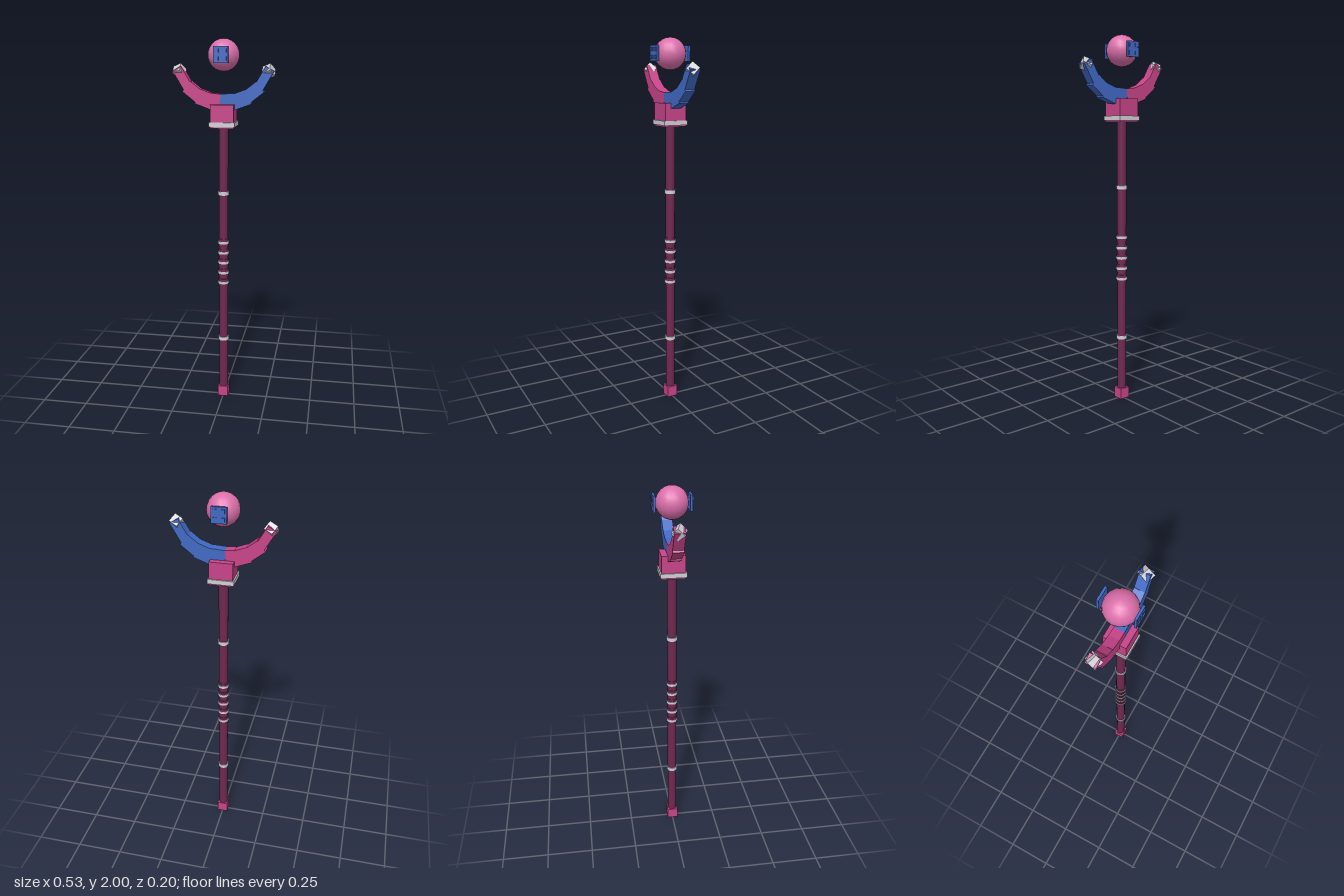
import * as THREE from 'three';

const mat = (name, color) => {
  const m = new THREE.MeshStandardMaterial({ color });
  m.name = name;
  return m;
};

export function createModel() {
  const pink = mat('pink', 0xc74489);
  const orbPink = mat('orb pink', 0xdb6fab);
  const blue = mat('blue', 0x4169c4);
  const silver = mat('silver', 0xd2d0d8);
  const maroon = mat('maroon', 0x6e2850);

  const model = new THREE.Group();
  model.name = 'staff';

  const add = (name, geometry, material, x, y, z, parent = model) => {
    const mesh = new THREE.Mesh(geometry, material);
    mesh.name = name;
    mesh.position.set(x, y, z);
    parent.add(mesh);
    return mesh;
  };
  const box = (name, w, h, d, material, x, y, z, parent) =>
    add(name, new THREE.BoxGeometry(w, h, d), material, x, y, z, parent);
  const rod = (name, r, h, material, y) =>
    add(name, new THREE.CylinderGeometry(r, r, h, 16), material, 0, y, 0);

  // Shaft and pommel
  rod('shaft', 0.025, 1.52, maroon, 0.8);
  box('pommel', 0.058, 0.06, 0.058, pink, 0, 0.03, 0);

  // Single bands and the ribbed grip
  for (const y of [0.355, 1.195]) rod('band', 0.03, 0.02, silver, y);
  const gripY = [0.69, 0.748, 0.806, 0.862, 0.92];
  for (const y of gripY) {
    rod('gripRing', 0.031, 0.014, silver, y);
    rod('gripRib', 0.028, 0.042, maroon, y);
  }

  // Head block and its collar
  box('headBlock', 0.122, 0.122, 0.122, pink, 0, 1.607, 0);
  box('collar', 0.136, 0.024, 0.136, silver, 0, 1.566, 0);

  // Curved arms: overlapping boxes that thin towards the tip
  const buildArm = (name, side, material, startX) => {
    const arm = new THREE.Group();
    arm.name = name;
    model.add(arm);
    const path = [[startX, 1.678], [0.065, 1.683], [0.125, 1.705], [0.185, 1.752], [0.237, 1.84]];
    const thickness = [0.085, 0.08, 0.068, 0.05];
    thickness.forEach((t, i) => {
      const [x0, y0] = path[i];
      const [x1, y1] = path[i + 1];
      const length = Math.hypot(x1 - x0, y1 - y0);
      const lap = i === 0 ? 0 : 0.022;
      const segment = box('armSegment', length + lap, t, 0.056, material,
        side * (x0 + x1) / 2, (y0 + y1) / 2, 0, arm);
      segment.rotation.z = side * Math.atan2(y1 - y0, x1 - x0);
    });
    // Tilted cube at the tip
    const tip = box('armTip', 0.049, 0.049, 0.049, silver, side * 0.234, 1.836, 0, arm);
    tip.rotation.set(Math.PI / 4, 0, Math.PI / 6);
  };
  buildArm('leftArm', 1, blue, -0.015);
  buildArm('rightArm', -1, pink, 0.015);

  // Floating orb with a studded plate in front and behind
  add('orb', new THREE.SphereGeometry(0.083, 16, 12), orbPink, 0, 1.917, 0);
  for (const s of [1, -1]) {
    const plate = new THREE.Group();
    plate.name = s > 0 ? 'frontPlate' : 'backPlate';
    model.add(plate);
    box('plate', 0.077, 0.08, 0.012, blue, 0, 1.919, s * 0.091, plate);
    for (const x of [-0.02, 0.02])
      for (const y of [1.899, 1.939])
        box('stud', 0.02, 0.02, 0.006, blue, x, y, s * 0.099, plate);
  }

  return model;
}
